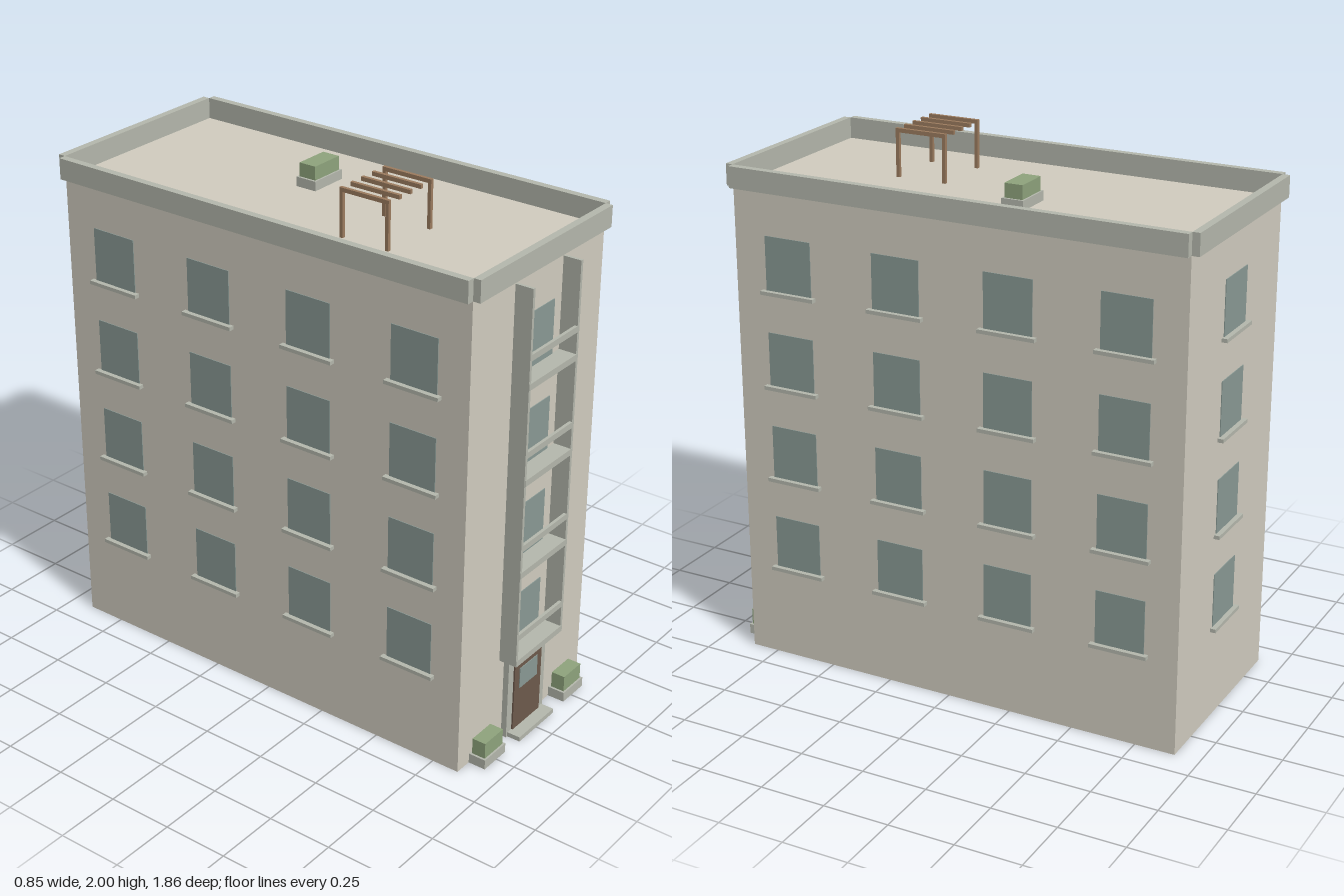
import * as THREE from 'three';

const mat = (color) => new THREE.MeshStandardMaterial({ color });

export function createModel() {
  const model = new THREE.Group();
  model.name = 'apartmentBlock';
  const wall = mat(0xd2cdc0), trim = mat(0xb5b8ad), glass = mat(0x8a9a95);
  const doorWood = mat(0x6e5a4c), leaf = mat(0x8fa47d), timber = mat(0x9c7c5f);

  // Box given by its extents on each axis
  function box(name, material, [x0, x1], [y0, y1], [z0, z1], parent = model) {
    const mesh = new THREE.Mesh(new THREE.BoxGeometry(x1 - x0, y1 - y0, z1 - z0), material);
    mesh.position.set((x0 + x1) / 2, (y0 + y1) / 2, (z0 + z1) / 2);
    mesh.name = name;
    parent.add(mesh);
    return mesh;
  }

  const W = 0.395, FRONT = 0.857, BACK = -0.904, ROOF = 1.82, FLOOR = 0.363;

  // Main body
  box('body', wall, [-W, W], [0, ROOF], [BACK, FRONT]);

  // Parapet, standing just outside the wall faces
  const P = 0.028, py = [ROOF, 1.9];
  box('parapetFront', trim, [-W, W], py, [FRONT, FRONT + P]);
  box('parapetBack', trim, [-W, W], py, [BACK - P, BACK]);
  box('parapetLeft', trim, [W, W + P], py, [BACK, FRONT]);
  box('parapetRight', trim, [-W - P, -W], py, [BACK, FRONT]);

  // Window facing local +z, placed on a wall by position and turn
  function addWindow(x, y, z, turn, hasSill) {
    const g = new THREE.Group();
    g.name = 'window';
    box('pane', glass, [-0.094, 0.094], [0, 0.204], [-0.004, 0.003], g);
    if (hasSill) box('sill', trim, [-0.11, 0.11], [-0.013, 0.001], [-0.002, 0.021], g);
    g.position.set(x, y, z);
    g.rotation.y = turn;
    model.add(g);
  }

  for (let floor = 1; floor <= 4; floor++) {
    const y = floor * FLOOR;
    for (let i = 0; i < 4; i++) {
      const z = 0.637 - i * 0.44;
      addWindow(W, y, z, Math.PI / 2, true);
      addWindow(-W, y, z, -Math.PI / 2, true);
    }
    addWindow(0, y, BACK, Math.PI, true);
    addWindow(0, y, FRONT, 0, false);

    // Balcony slab and rail
    box('balconySlab', trim, [-0.148, 0.148], [y - 0.024, y], [FRONT, 0.928]);
    box('balconyRail', trim, [-0.139, 0.139], [y + 0.081, y + 0.104], [0.914, 0.926]);
  }

  // Fins framing the balconies
  for (const s of [-1, 1]) {
    const fin = box('balconyFin', trim, [-0.006, 0.006], [0.34, 1.795], [FRONT, 0.926]);
    fin.position.x = s * 0.145;
  }

  // Entrance
  box('doorSurround', trim, [-0.12, 0.12], [0, 0.339], [FRONT, 0.879]);
  box('door', doorWood, [-0.087, 0.087], [0.015, 0.288], [0.87, 0.885]);
  box('doorGlass', glass, [-0.057, 0.057], [0.183, 0.267], [0.88, 0.888]);
  box('doorStep', trim, [-0.112, 0.112], [0, 0.018], [FRONT, 0.932]);

  // Planter: trough with a clipped hedge
  function addPlanter(x, y, z, w, d, baseHeight, height) {
    const g = new THREE.Group();
    g.name = 'planter';
    box('trough', trim, [-w / 2, w / 2], [0, baseHeight], [-d / 2, d / 2], g);
    const hw = w / 2 - 0.009, hd = d / 2 - 0.007;
    box('hedge', leaf, [-hw, hw], [baseHeight, height], [-hd, hd], g);
    g.position.set(x, y, z);
    model.add(g);
  }
  for (const s of [-1, 1]) addPlanter(s * 0.26, 0, 0.891, 0.13, 0.068, 0.038, 0.101);
  addPlanter(0.117, ROOF, -0.153, 0.154, 0.084, 0.036, 0.088);

  // Roof pergola: five slats, posts under the outer two
  const pergola = new THREE.Group();
  pergola.name = 'pergola';
  for (let i = 0; i < 5; i++) {
    const x = -0.232 + i * 0.06, xs = [x - 0.0065, x + 0.0065];
    box('slat', timber, xs, [1.985, 2], [0.209, 0.412], pergola);
    if (i % 4 === 0) {
      for (const z of [0.216, 0.405]) {
        box('post', timber, xs, [ROOF, 1.985], [z - 0.0065, z + 0.0065], pergola);
      }
    }
  }
  model.add(pergola);

  return model;
}
